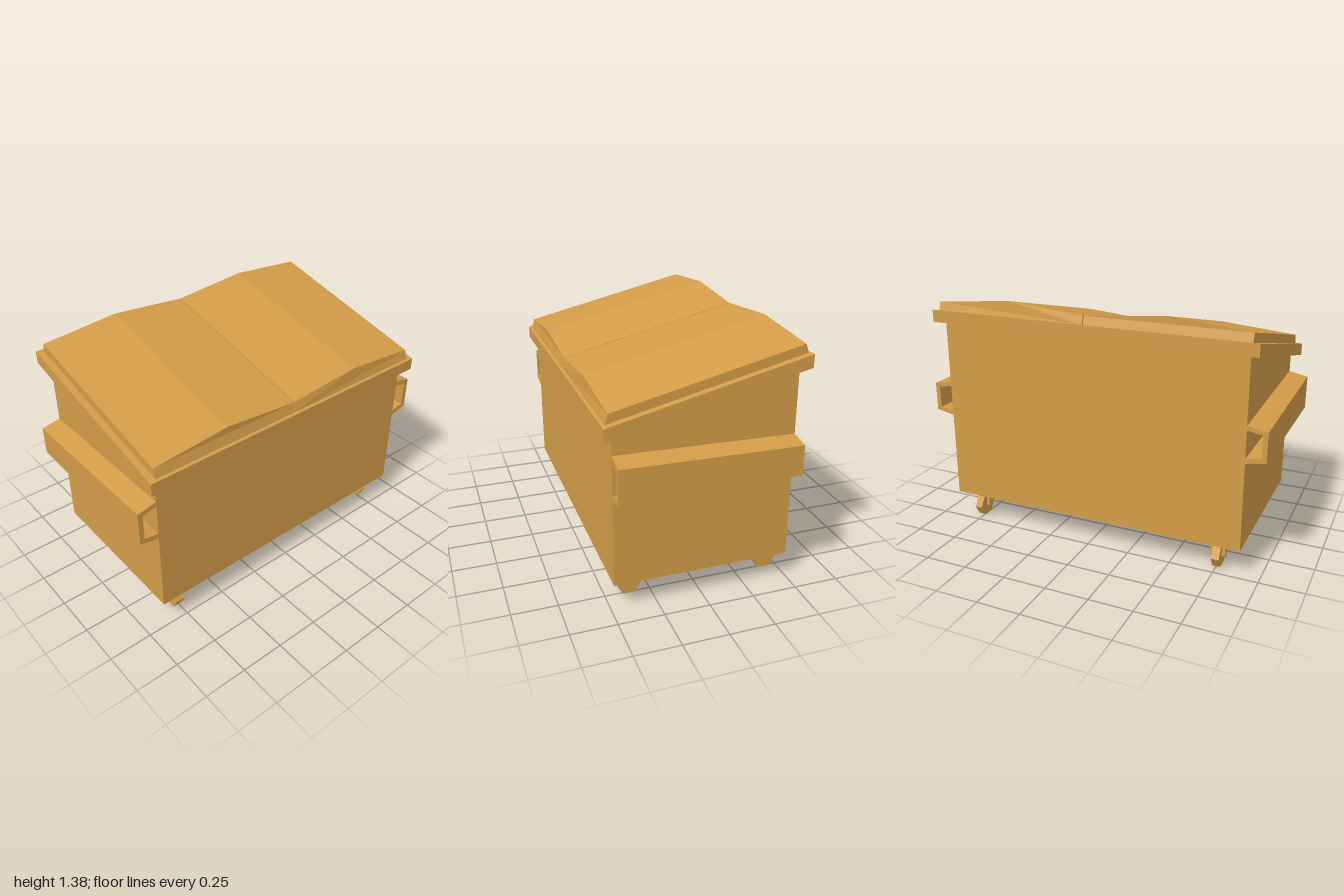
import * as THREE from 'three';

const paint = new THREE.MeshStandardMaterial({ color: 0xd39c48, flatShading: true });

function shapeOf(points) {
  return new THREE.Shape(points.map(([x, y]) => new THREE.Vector2(x, y)));
}

// Centred prism of an (x, y) outline along z
function prismZ(points, depth) {
  const g = new THREE.ExtrudeGeometry(shapeOf(points), { depth, bevelEnabled: false });
  return g.translate(0, 0, -depth / 2);
}

// Centred prism of a (z, y) outline along x
function prismX(points, width) {
  return prismZ(points, width).rotateY(-Math.PI / 2);
}

// Move every vertex by a rule
function reshape(geometry, rule) {
  const p = geometry.attributes.position;
  const v = new THREE.Vector3();
  for (let i = 0; i < p.count; i++) {
    rule(v.fromBufferAttribute(p, i));
    p.setXYZ(i, v.x, v.y, v.z);
  }
  geometry.computeVertexNormals();
  return geometry;
}

function addPart(parent, name, geometry) {
  const mesh = new THREE.Mesh(geometry, paint);
  mesh.name = name;
  parent.add(mesh);
  return mesh;
}

// Wheel and trailing fork, with the axle at the origin
function makeCaster(name) {
  const caster = new THREE.Group();
  caster.name = name;
  addPart(caster, 'wheel', new THREE.CylinderGeometry(0.068, 0.068, 0.044, 6).rotateZ(Math.PI / 2));
  const plate = [[0.068, 0.083], [-0.008, 0.083], [-0.012, 0], [-0.008, -0.011], [0.002, -0.011]];
  for (const s of [-1, 1]) {
    addPart(caster, 'forkPlate', prismX(plate, 0.02)).position.x = s * 0.032;
  }
  addPart(caster, 'forkBridge', new THREE.BoxGeometry(0.084, 0.022, 0.074)).position.set(0, 0.072, 0.03);
  return caster;
}

export function createModel() {
  const model = new THREE.Group();
  model.name = 'wheeledSkip';

  // Body with a sloping top
  addPart(model, 'body', prismX(
    [[0.487, 0.157], [0.487, 1.02], [-0.487, 1.25], [-0.487, 0.157]], 1.78));

  // Overhanging rim that follows the slope
  addPart(model, 'rim', prismX(
    [[0.537, 0.978], [0.537, 1.048], [-0.533, 1.3], [-0.533, 1.23]], 1.885));

  const casterSpots = [
    ['frontLeftCaster', 0.755, 0.373, 1],
    ['frontRightCaster', -0.757, 0.373, 1.22],
    ['backLeftCaster', 0.755, -0.418, 1],
    ['backRightCaster', -0.755, -0.418, 1],
  ];
  for (const [name, x, z, scale] of casterSpots) {
    const caster = makeCaster(name);
    caster.position.set(x, 0.075, z);
    caster.scale.setScalar(scale);
    model.add(caster);
  }

  for (const s of [-1, 1]) {
    const side = s > 0 ? 'left' : 'right';

    // Ridged lid half, narrowing upward and sheared to the slope
    const lid = prismZ(
      [[0.003, 0], [0.905, 0], [0.905, 0.05], [0.454, 0.09], [0.003, 0.05]]
        .map(([x, y]) => [s * x, y]), 1.042);
    reshape(lid, (v) => {
      if (v.y > 0.01) v.z *= 0.97;
      v.y += 1.175 - 0.2355 * v.z;
    });
    addPart(model, side + 'Lid', lid);

    // Open-ended fork sleeve, tapering towards the back
    const sleeve = prismZ(
      [[0.889, 0.121], [1, 0.0975], [1, -0.0975], [0.889, -0.121],
        [0.889, -0.091], [0.972, -0.074], [0.972, 0.074], [0.889, 0.091]]
        .map(([x, y]) => [s * x, y]), 0.974);
    reshape(sleeve, (v) => {
      v.y = 0.763 + v.y * (v.z > 0 ? 1 : 0.847);
    });
    addPart(model, side + 'ForkSleeve', sleeve);
  }

  return model;
}
